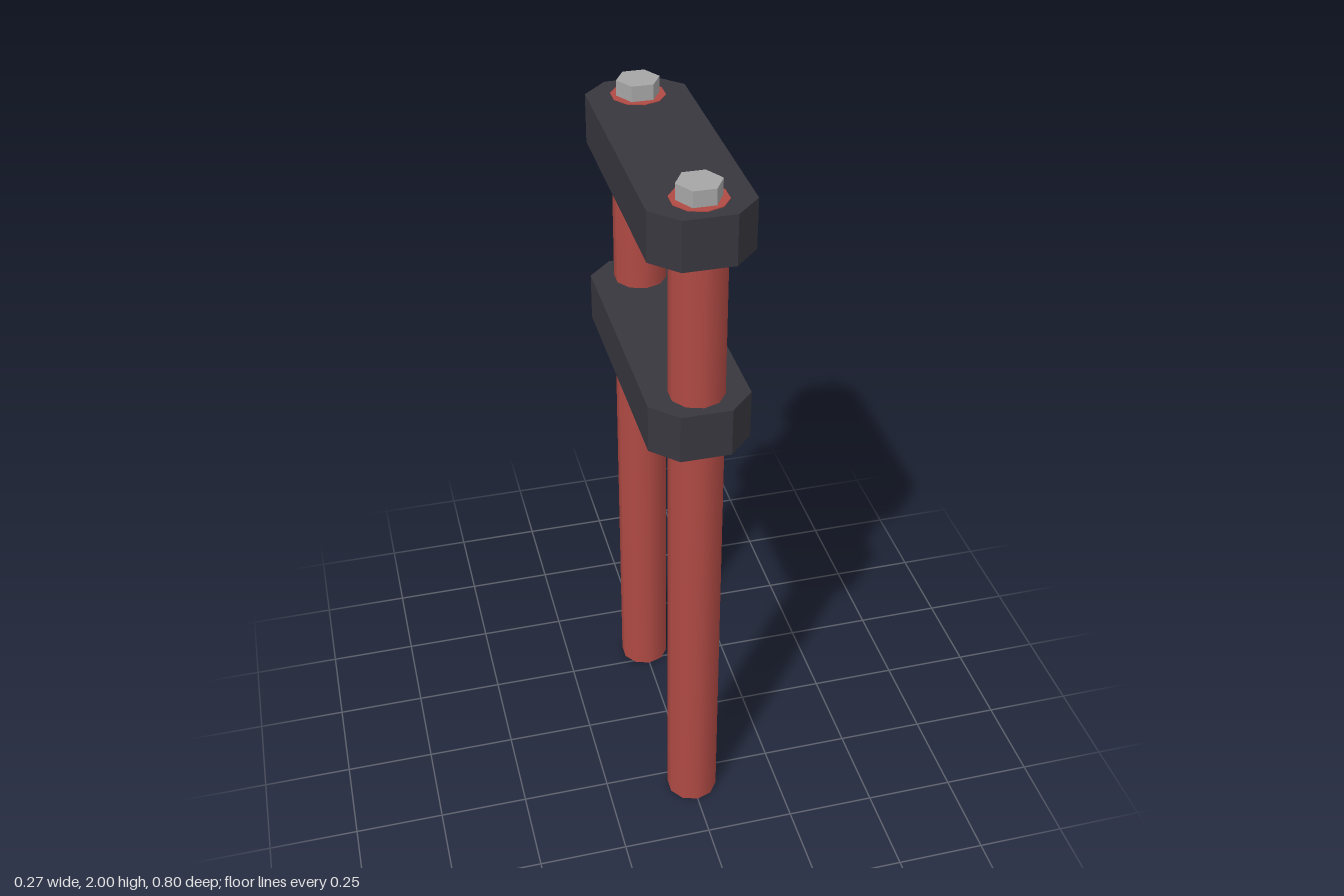
import * as THREE from 'three';

export function createModel() {
  const model = new THREE.Group();
  model.name = 'twinTubeFork';

  const mat = (name, color, flatShading = false) => {
    const m = new THREE.MeshStandardMaterial({ color });
    m.name = name;
    m.flatShading = flatShading;
    return m;
  };
  const red = mat('tubeRed', 0xb04a44);
  const dark = mat('clampCharcoal', 0x38373e, true);
  const grey = mat('boltGrey', 0xa6a6a6, true);

  const add = (name, geometry, material, x, y, z) => {
    const mesh = new THREE.Mesh(geometry, material);
    mesh.name = name;
    mesh.position.set(x, y, z);
    model.add(mesh);
  };

  const thick = 0.134, plateTop = 1.956;

  // Clamp plate: long octagon with cut corners, extruded upwards
  const w = 0.134, l = 0.402, c = 0.067;
  const outline = new THREE.Shape([
    [w, l - c], [w - c, l], [c - w, l], [-w, l - c],
    [-w, c - l], [c - w, -l], [w - c, -l], [w, c - l],
  ].map(([x, y]) => new THREE.Vector2(x, y)));
  const plate = new THREE.ExtrudeGeometry(outline, { depth: thick, bevelEnabled: false });
  plate.rotateX(-Math.PI / 2);
  add('upperClamp', plate, dark, 0, plateTop - thick, 0);
  add('lowerClamp', plate, dark, 0, 1.283, 0);

  // Tubes pass through both clamps, with a hex bolt on each end
  const tubeHeight = plateTop + 0.002;
  const tube = new THREE.CylinderGeometry(0.073, 0.073, tubeHeight, 10);
  const boltHeight = 2 - tubeHeight;
  const bolt = new THREE.CylinderGeometry(0.058, 0.058, boltHeight, 6);
  bolt.rotateY(Math.PI / 2);
  for (const [side, z] of [['front', 0.302], ['back', -0.302]]) {
    add(side + 'Tube', tube, red, 0, tubeHeight / 2, z);
    add(side + 'Bolt', bolt, grey, 0, 2 - boltHeight / 2, z);
  }

  return model;
}
